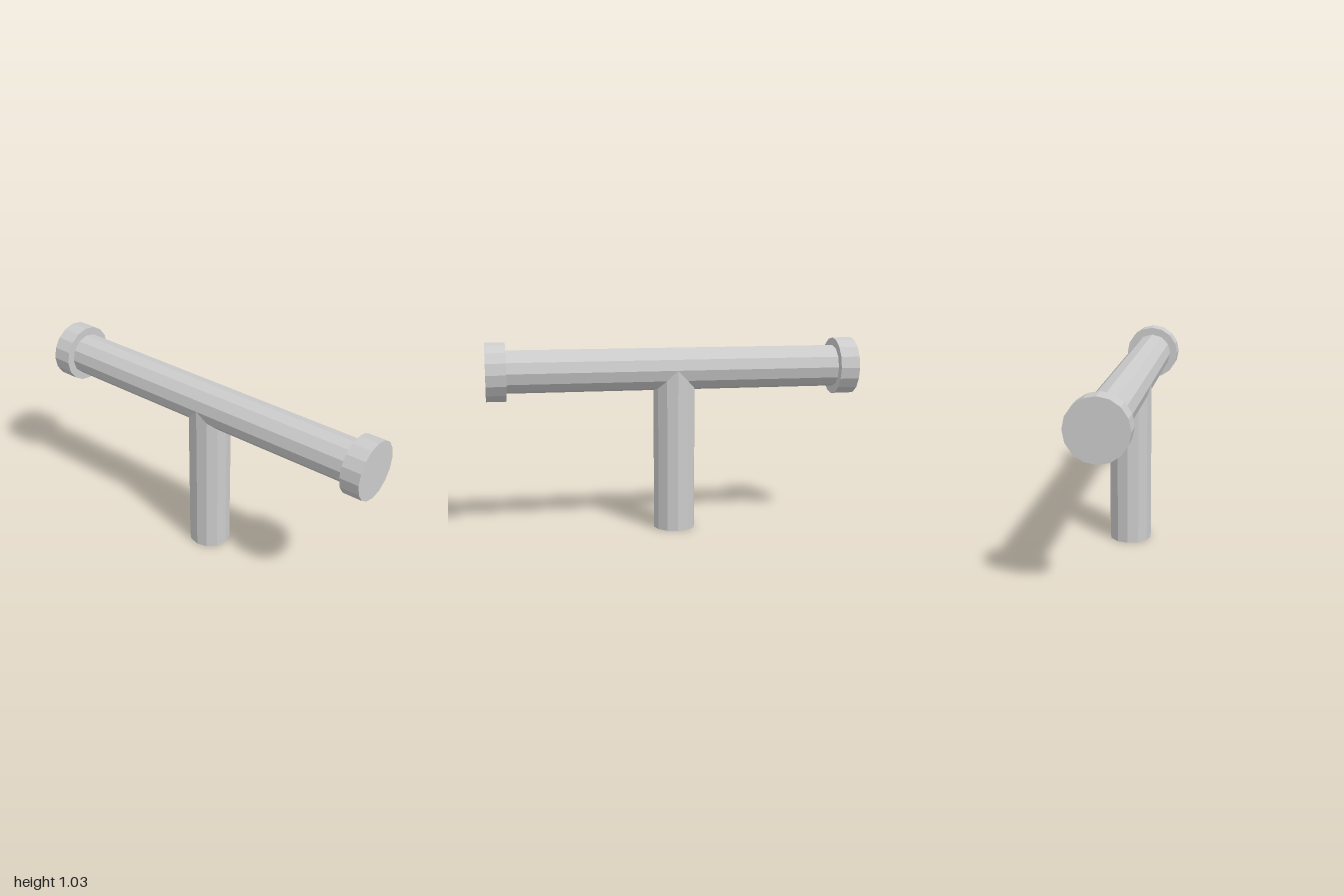
import * as THREE from 'three';

const AXIS_Y = 0.873;     // height of the crossbar's centre line
const PIPE_RADIUS = 0.113;
const CAP_RADIUS = 0.155;
const CAP_LENGTH = 0.105;

export function createModel() {
  const model = new THREE.Group();
  model.name = 'teePipe';
  const material = new THREE.MeshStandardMaterial({ color: 0xcccccc, flatShading: true });

  const addPart = (name, geometry, x, y) => {
    const mesh = new THREE.Mesh(geometry, material);
    mesh.name = name;
    mesh.position.set(x, y, 0);
    model.add(mesh);
  };
  const cylinder = (radius, length, sides) =>
    new THREE.CylinderGeometry(radius, radius, length, sides);

  // Upright stem, ending on the crossbar's centre line so the two form a mitred joint
  addPart('stem', cylinder(PIPE_RADIUS, AXIS_Y, 12), 0, AXIS_Y / 2);

  // Horizontal crossbar, running up to the inner faces of the end caps
  const barLength = 2 * (1 - CAP_LENGTH);
  addPart('crossbar', cylinder(PIPE_RADIUS, barLength, 12).rotateZ(Math.PI / 2), 0, AXIS_Y);

  // Wider end cap on each side
  for (const [name, side] of [['leftEndCap', 1], ['rightEndCap', -1]]) {
    const cap = cylinder(CAP_RADIUS, CAP_LENGTH, 16).rotateZ(Math.PI / 2);
    addPart(name, cap, side * (1 - CAP_LENGTH / 2), AXIS_Y);
  }

  return model;
}
